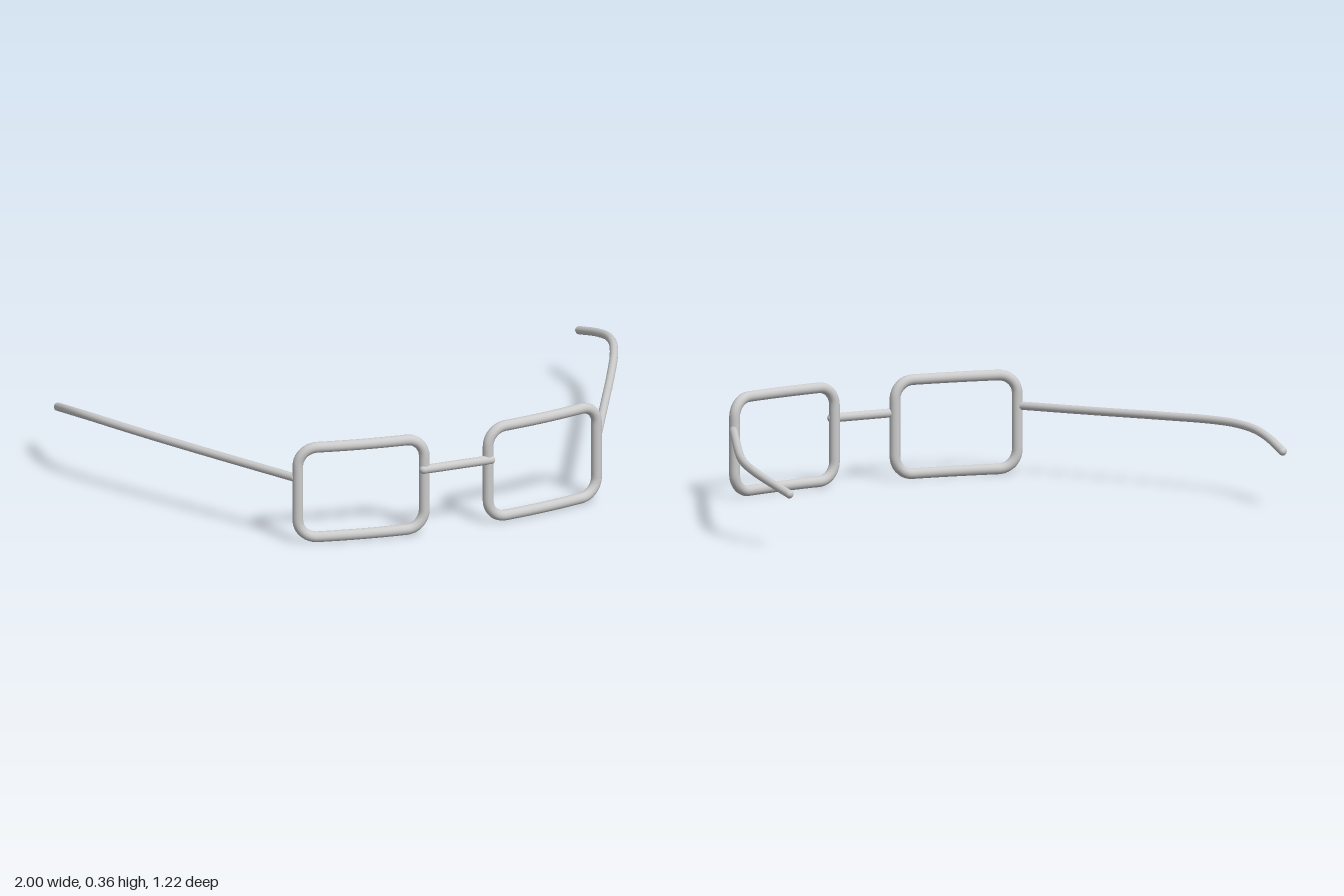
import * as THREE from 'three';

const material = new THREE.MeshStandardMaterial({ color: 0xcccccc });

function addMesh(parent, name, geometry) {
  const mesh = new THREE.Mesh(geometry, material);
  mesh.name = name;
  parent.add(mesh);
  return mesh;
}

// Round wire along a curve; open wires get rounded ends
function addWire(parent, name, curve, segments, radius, closed = false) {
  addMesh(parent, name, new THREE.TubeGeometry(curve, segments, radius, 16, closed));
  if (closed) return;
  for (const t of [0, 1]) {
    const cap = addMesh(parent, name + 'End', new THREE.SphereGeometry(radius, 16, 10));
    cap.position.copy(curve.getPointAt(t));
  }
}

// Rounded rectangle bent back along the curved front
function rimCurve(side) {
  const x0 = 0.119, x1 = 0.557, y0 = 0.019, y1 = 0.344, r = 0.065;
  const outline = new THREE.Shape()
    .moveTo(x0 + r, y0).lineTo(x1 - r, y0)
    .absarc(x1 - r, y0 + r, r, -Math.PI / 2, 0)
    .lineTo(x1, y1 - r).absarc(x1 - r, y1 - r, r, 0, Math.PI / 2)
    .lineTo(x0 + r, y1).absarc(x0 + r, y1 - r, r, Math.PI / 2, Math.PI)
    .lineTo(x0, y0 + r).absarc(x0 + r, y0 + r, r, Math.PI, Math.PI * 1.5);
  const points = outline.getSpacedPoints(96).slice(0, -1)
    .map(p => new THREE.Vector3(side * p.x, p.y, 0.586 - 0.26 * p.x * p.x));
  return new THREE.CatmullRomCurve3(points, true);
}

// Temple arm: splays outwards, then hooks inwards and down behind the ear
function templeCurve(side) {
  const path = [
    [0.567, 0.236, 0.495], [0.7, 0.241, 0.245], [0.83, 0.247, 0],
    [0.92, 0.251, -0.18], [0.963, 0.249, -0.29], [0.983, 0.24, -0.38],
    [0.985, 0.223, -0.47], [0.972, 0.192, -0.596]
  ];
  return new THREE.CatmullRomCurve3(path.map(([x, y, z]) => new THREE.Vector3(side * x, y, z)));
}

export function createModel() {
  const glasses = new THREE.Group();
  glasses.name = 'glasses';

  for (const [label, side] of [['left', 1], ['right', -1]]) {
    addWire(glasses, label + 'Rim', rimCurve(side), 160, 0.0185, true);
    addWire(glasses, label + 'Temple', templeCurve(side), 80, 0.0145);
  }

  // Straight bridge joining the rims
  const bridge = new THREE.LineCurve3(
    new THREE.Vector3(-0.125, 0.233, 0.591), new THREE.Vector3(0.125, 0.233, 0.591));
  addWire(glasses, 'bridge', bridge, 8, 0.0155);

  return glasses;
}
